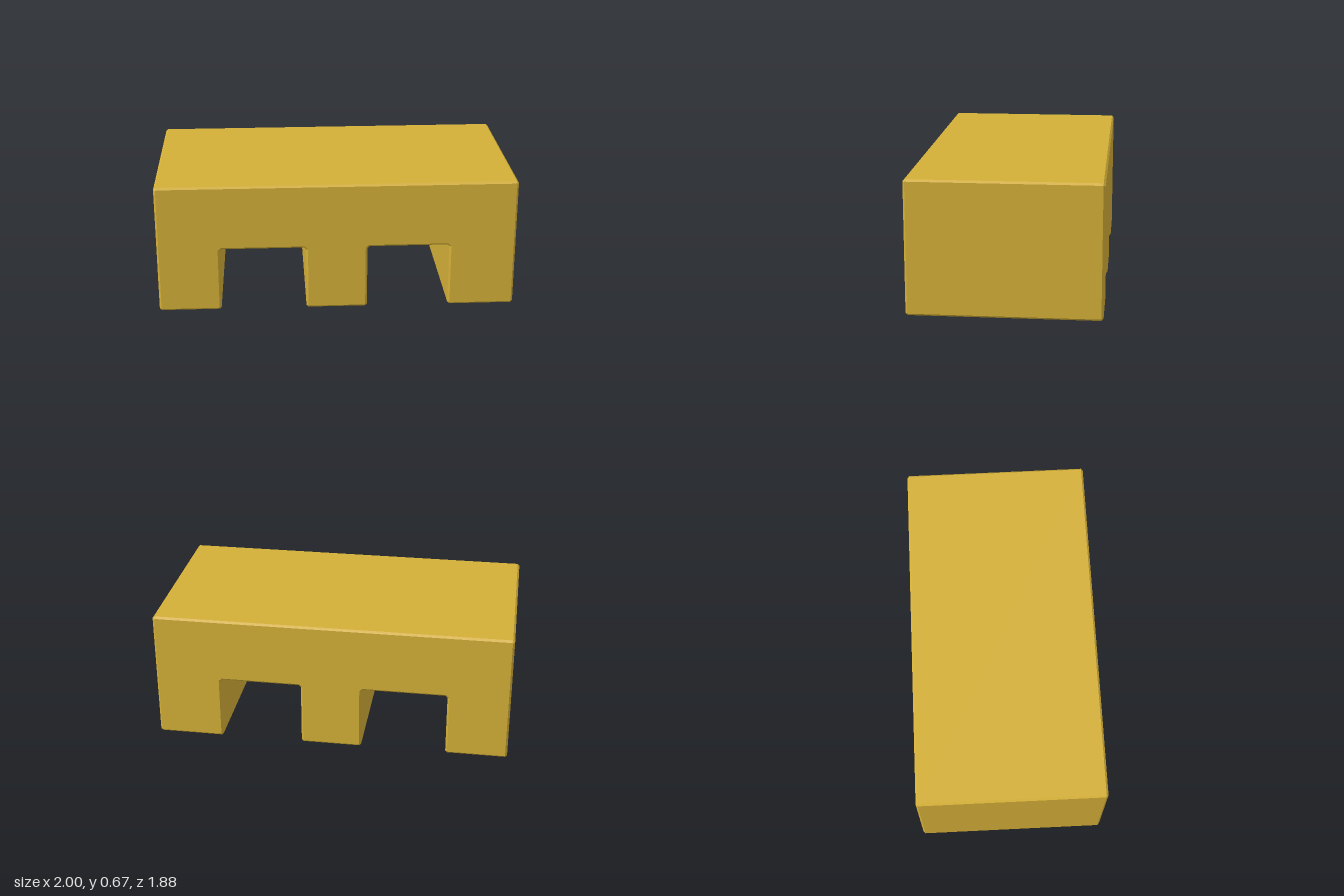
import * as THREE from 'three';

const LENGTH = 1.82, WIDTH = 0.95, HEIGHT = 0.67, BEVEL = 0.01;

// Closed outline with every corner cut by a small chamfer
function chamferedShape(corners, cut) {
  const points = [];
  corners.forEach((corner, i) => {
    const previous = corners[(i + corners.length - 1) % corners.length];
    const next = corners[(i + 1) % corners.length];
    for (const neighbour of [previous, next]) {
      const step = neighbour.clone().sub(corner).setLength(cut);
      points.push(corner.clone().add(step));
    }
  });
  return new THREE.Shape(points);
}

export function createModel() {
  const model = new THREE.Group();
  const gold = new THREE.MeshStandardMaterial({ color: 0xd4af37 });
  gold.name = 'gold';

  // Long side of the block: three legs separated by two square channels
  const h = LENGTH / 2, ceiling = 0.333;
  const channels = [[-0.594, -0.158], [0.154, 0.571]];
  const corners = [[-h, 0]];
  for (const [a, b] of channels) corners.push([a, 0], [a, ceiling], [b, ceiling], [b, 0]);
  corners.push([h, 0], [h, HEIGHT], [-h, HEIGHT]);
  const profile = chamferedShape(corners.map(([x, y]) => new THREE.Vector2(x, y)), BEVEL);

  // Extruded across the width with chamfered rims
  const depth = WIDTH - 2 * BEVEL;
  const geometry = new THREE.ExtrudeGeometry(profile, {
    depth, bevelEnabled: true, bevelThickness: BEVEL, bevelSize: BEVEL,
    bevelOffset: -BEVEL, bevelSegments: 1,
  });
  geometry.translate(0, 0, -depth / 2);

  const block = new THREE.Mesh(geometry, gold);
  block.name = 'channelledBlock';
  block.rotation.y = Math.atan2(1.15, 1.4); // stands turned on the ground
  model.add(block);
  return model;
}
